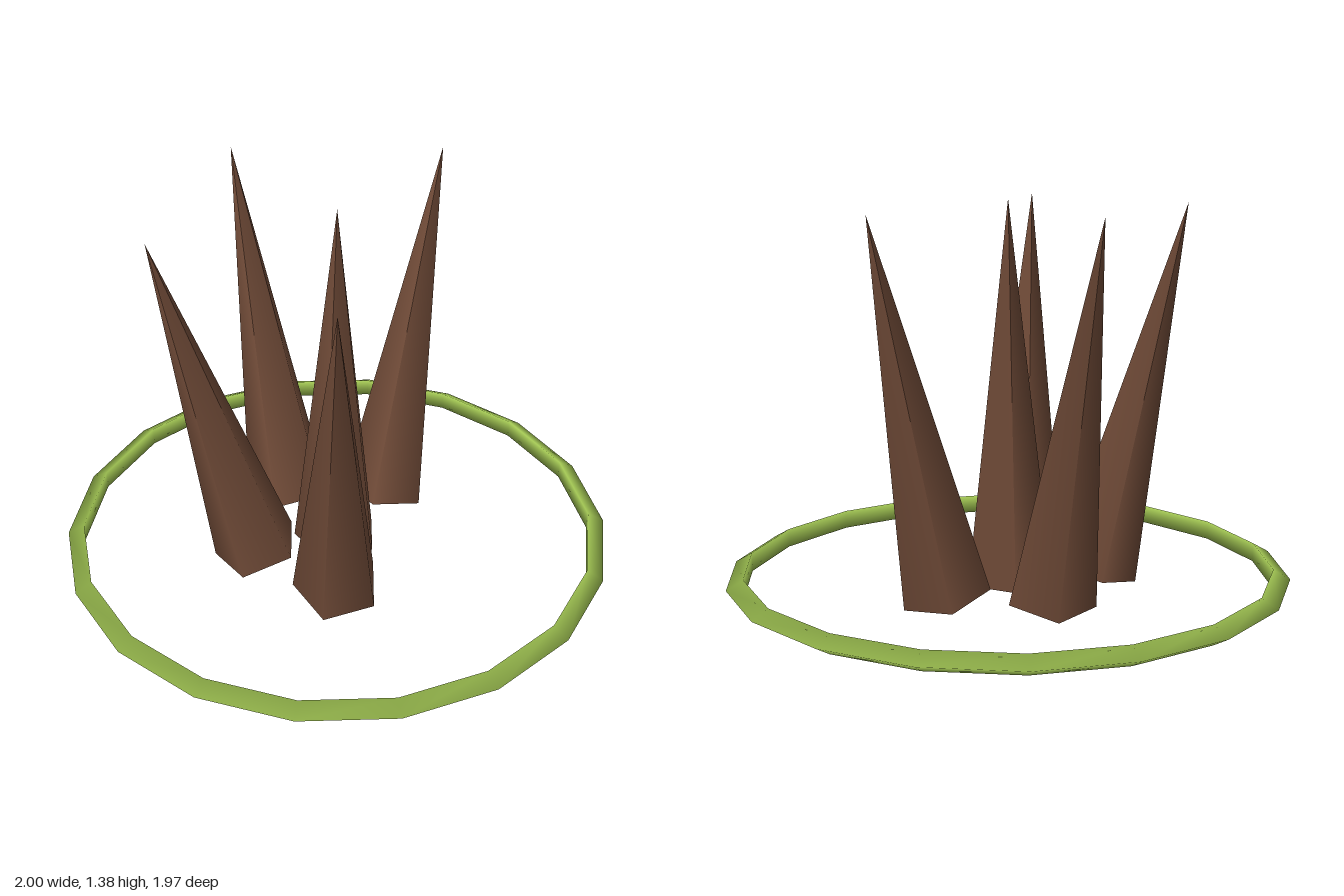
import * as THREE from 'three';

export function createModel() {
  const model = new THREE.Group();
  const brown = new THREE.MeshStandardMaterial({ color: 0x6f4a37 });
  brown.name = 'brown';
  const green = new THREE.MeshStandardMaterial({ color: 0xa2c653 });
  green.name = 'green';

  // Flat ring with a triangular section around the spikes
  const ring = new THREE.Mesh(new THREE.TorusGeometry(0.96, 0.04, 3, 18).rotateX(Math.PI / 2), green);
  ring.name = 'ring';
  ring.position.y = 0.05;
  model.add(ring);

  // Five-sided spikes: one upright, four leaning outwards
  const spikeGeometry = new THREE.ConeGeometry(0.16, 1.363, 5);
  const up = new THREE.Vector3(0, 1, 0);
  const addSpike = (name, x, z, lean) => {
    const spike = new THREE.Mesh(spikeGeometry, brown);
    spike.name = name;
    spike.position.set(x, 0.697, z);
    if (lean) spike.quaternion.setFromUnitVectors(up, lean);
    model.add(spike);
  };

  addSpike('centreSpike', 0, 0);
  const tilt = 0.246;
  for (let i = 1; i < 5; i++) {
    const a = (i * Math.PI * 2) / 5;
    const c = Math.cos(a), s = Math.sin(a);
    const lean = new THREE.Vector3(c * Math.sin(tilt), Math.cos(tilt), s * Math.sin(tilt));
    addSpike('leaningSpike' + i, c * 0.476, s * 0.476, lean);
  }
  return model;
}
